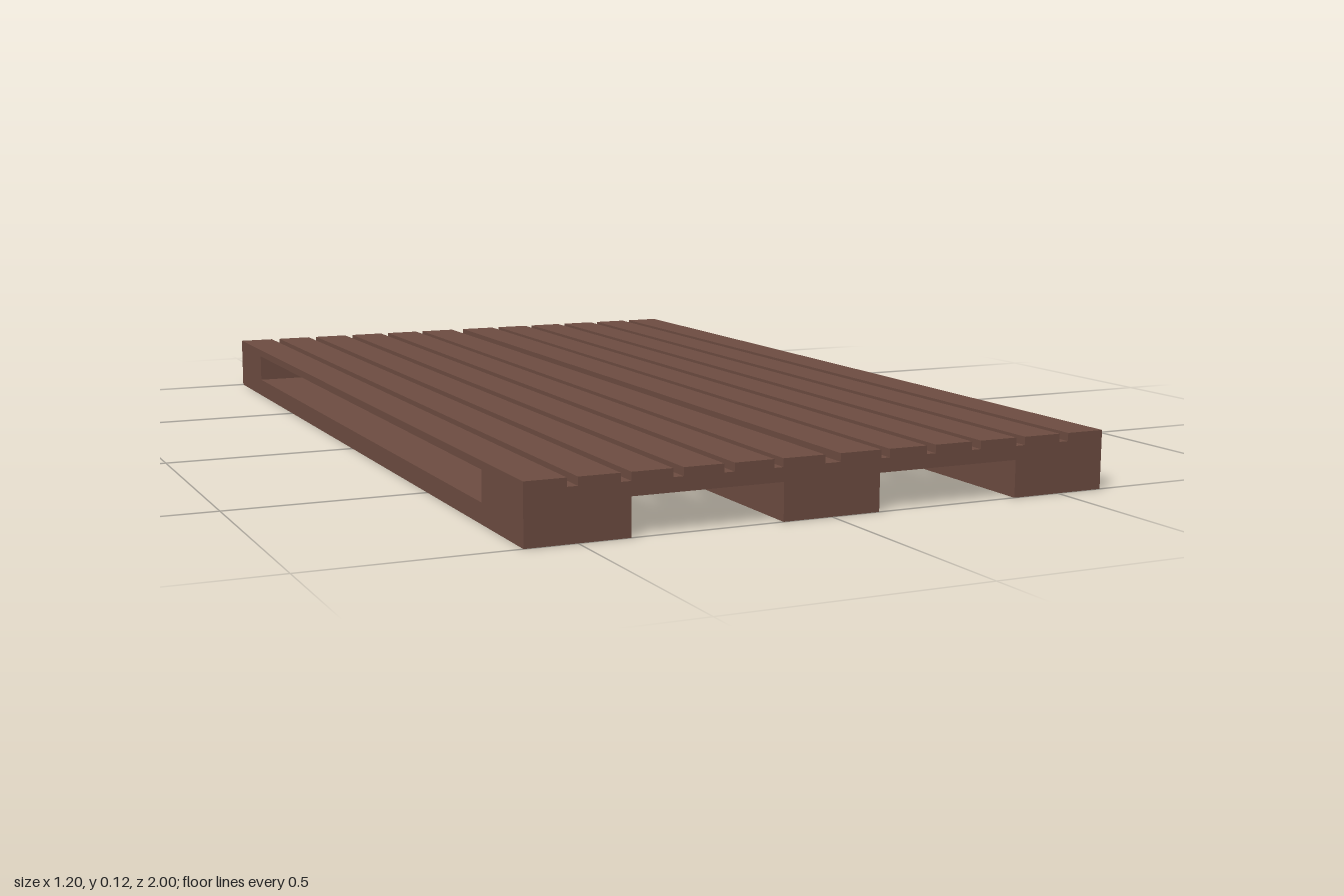
import * as THREE from 'three';

const wood = new THREE.MeshStandardMaterial({ color: 0x6d4c41 });
wood.name = 'brown wood';

// Box given by its lower and upper limits on each axis
function board(name, [x0, x1], [y0, y1], [z0, z1]) {
  const mesh = new THREE.Mesh(new THREE.BoxGeometry(x1 - x0, y1 - y0, z1 - z0), wood);
  mesh.position.set((x0 + x1) / 2, (y0 + y1) / 2, (z0 + z1) / 2);
  mesh.name = name;
  return mesh;
}

export function createModel() {
  const pallet = new THREE.Group();
  pallet.name = 'pallet';
  const ends = [[-1, -0.8], [0.8, 1]];

  // Three bottom skids with a spacer block at each end
  for (const x of [-0.5, 0, 0.5]) {
    const span = [x - 0.1, x + 0.1];
    pallet.add(board('skid', span, [0, 0.04], [-1, 1]));
    for (const z of ends) pallet.add(board('block', span, [0.04, 0.073], z));
  }

  // Cross boards at both ends
  for (const z of ends) pallet.add(board('crossBoard', [-0.6, 0.6], [0.073, 0.1], z));

  // Deck slats, mirrored left and right
  const slats = [[0.016, 0.102], [0.12, 0.2], [0.22, 0.3], [0.32, 0.4], [0.42, 0.5], [0.52, 0.6]];
  for (const [a, b] of slats) {
    pallet.add(board('leftSlat', [a, b], [0.1, 0.116], [-1, 1]));
    pallet.add(board('rightSlat', [-b, -a], [0.1, 0.116], [-1, 1]));
  }
  return pallet;
}
